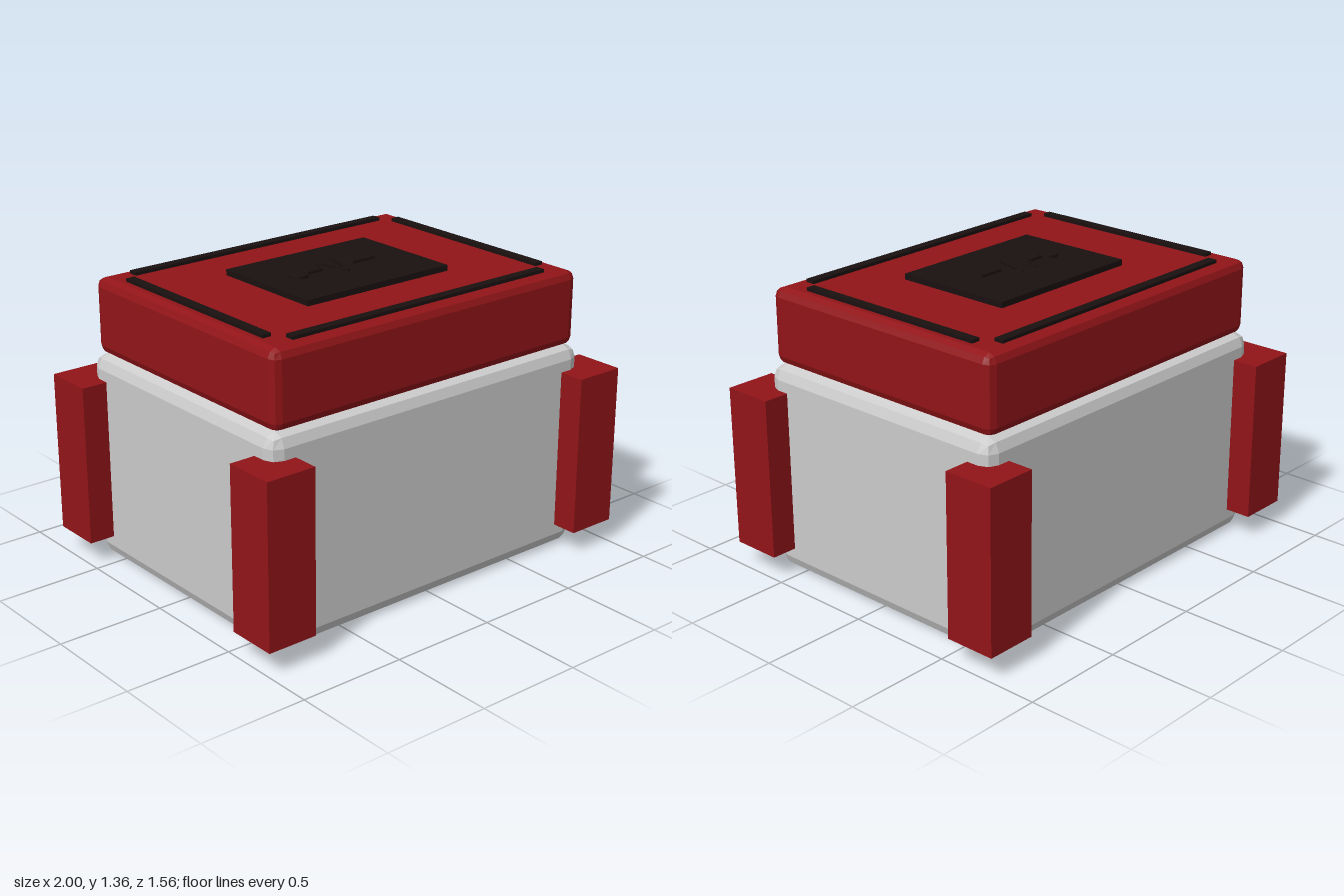
import * as THREE from 'three';
import { RoundedBoxGeometry } from 'three/addons/geometries/RoundedBoxGeometry.js';

export function createModel() {
  const model = new THREE.Group();
  model.name = 'crate';
  const grey = new THREE.MeshStandardMaterial({ color: 0xcccccc, flatShading: true });
  const red = new THREE.MeshStandardMaterial({ color: 0x921418, flatShading: true });
  const black = new THREE.MeshStandardMaterial({ color: 0x1a1010, flatShading: true });

  const add = (name, geometry, material, x, y, z, parent = model) => {
    const mesh = new THREE.Mesh(geometry, material);
    mesh.name = name;
    mesh.position.set(x, y, z);
    parent.add(mesh);
    return mesh;
  };

  // Bevelled box and lid
  add('body', new RoundedBoxGeometry(1.755, 0.97, 1.315, 1, 0.06), grey, 0, 0.485, 0);
  add('lid', new RoundedBoxGeometry(1.7, 0.35, 1.28, 1, 0.04), red, 0, 1.145, 0);

  // Corner guards
  const guard = new THREE.BoxGeometry(0.24, 0.75, 0.24);
  for (const sx of [-1, 1]) {
    for (const sz of [-1, 1]) add('cornerGuard', guard, red, sx * 0.88, 0.485, sz * 0.66);
  }

  // Trim strips round the top of the lid
  const longStrip = new THREE.BoxGeometry(1.41, 0.03, 0.045);
  const shortStrip = new THREE.BoxGeometry(0.042, 0.03, 0.97);
  for (const s of [-1, 1]) {
    add('longTrimStrip', longStrip, black, 0, 1.32, s * 0.553);
    add('sideTrimStrip', shortStrip, black, s * 0.764, 1.32, 0);
  }

  // Raised panel
  add('topPanel', new THREE.BoxGeometry(0.79, 0.04, 0.57), black, 0, 1.327, 0);

  // Pulse line relief: a round stud and a zigzag of thin bars
  const pulse = new THREE.Group();
  pulse.name = 'pulseRelief';
  pulse.position.y = 1.35;
  model.add(pulse);
  add('pulseStud', new THREE.CylinderGeometry(0.046, 0.046, 0.018, 20), black, -0.22, 0, 0, pulse);
  const path = [[-0.22, 0], [-0.09, 0], [-0.045, -0.08], [0, 0.08], [0.045, -0.08], [0.09, 0], [0.21, 0]];
  for (let i = 1; i < path.length; i++) {
    const [x0, z0] = path[i - 1], [x1, z1] = path[i];
    const length = Math.hypot(x1 - x0, z1 - z0) + 0.006;
    const bar = add('pulseBar', new THREE.BoxGeometry(length, 0.016, 0.01), black,
      (x0 + x1) / 2, 0, (z0 + z1) / 2, pulse);
    bar.rotation.y = -Math.atan2(z1 - z0, x1 - x0);
  }

  return model;
}
